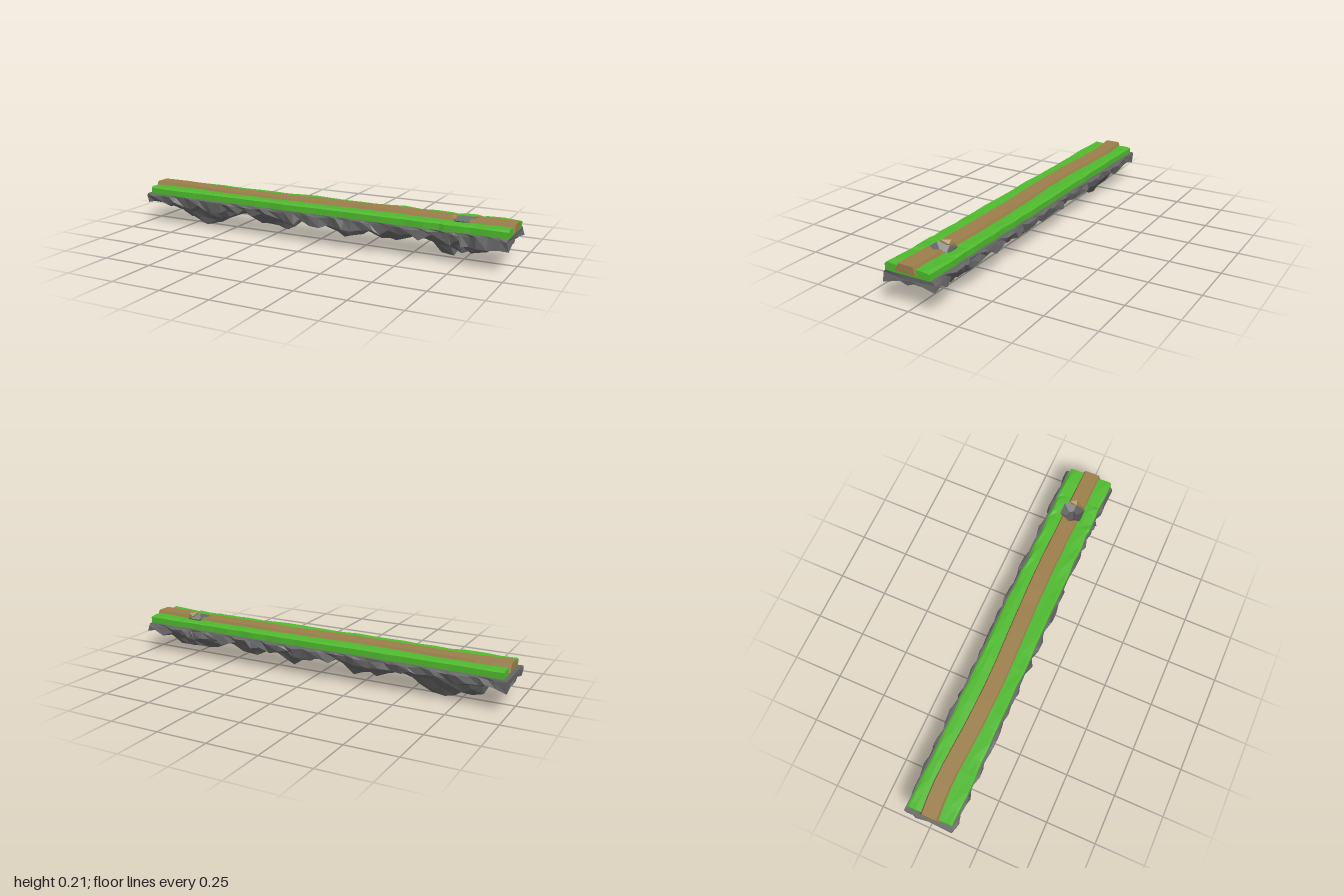
import * as THREE from 'three';

const HOLE_X = 0.745;
const material = (color) => new THREE.MeshStandardMaterial({ color, flatShading: true });

// Small seeded random source, returns -1..1
function seeded(seed) {
  let s = seed;
  return () => {
    s = (s * 16807) % 2147483647;
    return (s / 2147483647) * 2 - 1;
  };
}

// Linear interpolation in a list of [x, value] pairs
function lerpTable(table, x) {
  for (let i = 1; i < table.length; i++) {
    const [x0, v0] = table[i - 1], [x1, v1] = table[i];
    if (x <= x1) return v0 + (v1 - v0) * Math.max(0, (x - x0) / (x1 - x0));
  }
  return table[table.length - 1][1];
}

// Evenly spaced stations along x, with four more on the corners of the hexagonal hole
function stations(from, to, count, r) {
  const xs = [];
  for (let i = 0; i <= count; i++) xs.push(from + ((to - from) * i) / count);
  const kept = xs.filter((x) => Math.abs(x - HOLE_X) > r + 0.012);
  return [...kept, ...[-r, -r / 2, r / 2, r].map((d) => HOLE_X + d)].sort((a, b) => a - b);
}

const inHole = (x, r) => Math.abs(x - HOLE_X) < r + 0.001;
// Half width of the hexagon at a station
const hexHalf = (x, r) => (Math.abs(x - HOLE_X) < r * 0.6 ? r * 0.866 : 0);

// Joins closed loops of points into a capped, faceted solid; isOpen leaves cells out
function loft(loops, isOpen = () => false) {
  const pos = [];
  const tri = (...pts) => pts.forEach((p) => pos.push(...p));
  const n = loops[0].length;
  for (let i = 0; i < loops.length - 1; i++) {
    for (let k = 0; k < n; k++) {
      if (isOpen(i, k)) continue;
      const a = loops[i][k], b = loops[i][(k + 1) % n];
      const c = loops[i + 1][(k + 1) % n], d = loops[i + 1][k];
      tri(a, b, c);
      tri(a, c, d);
    }
  }
  [loops[0], loops[loops.length - 1]].forEach((loop, end) => {
    const mid = [0, 1, 2].map((j) => loop.reduce((sum, p) => sum + p[j], 0) / n);
    loop.forEach((p, k) => {
      const q = loop[(k + 1) % n];
      if (end) tri(mid, p, q);
      else tri(mid, q, p);
    });
  });
  const g = new THREE.BufferGeometry();
  g.setAttribute('position', new THREE.Float32BufferAttribute(pos, 3));
  g.computeVertexNormals();
  return g;
}

// Jagged rock with hanging lumps
function rockGeometry() {
  const rnd = seeded(4711), r = 0.025;
  const bottom = [[-1, 0.11], [-0.9, 0.1], [-0.85, 0.055], [-0.78, 0.03], [-0.67, 0], [-0.55, 0.035],
    [-0.42, 0.09], [-0.3, 0.04], [-0.2, 0.035], [-0.08, 0.1], [0, 0.09], [0.08, 0.06], [0.16, 0.035],
    [0.26, 0.08], [0.4, 0.04], [0.5, 0.09], [0.56, 0.085], [0.65, 0.04], [0.75, 0.025], [0.85, 0.05],
    [0.92, 0.1], [1, 0.12]];
  const cols = [-1, -0.75, -0.45, -0.16, 0.16, 0.45, 0.75, 1];
  const fall = [0.3, 0.48, 0.75, 1, 1, 0.75, 0.48, 0.3];
  const xs = stations(-0.99, 0.985, 42, r);
  const loops = xs.map((x, i) => {
    const atEnd = i === 0 || i === xs.length - 1, hole = inHole(x, r);
    const depth = 0.157 - lerpTable(bottom, x);
    const jx = () => (hole ? 0.2 : atEnd ? 0.6 : 1) * 0.014 * rnd();
    const center = (j) => hole && (j === 3 || j === 4);
    const hz = (j) => (j === 3 ? -1 : 1) * hexHalf(x, r);
    const top = cols.map((s, j) => [x, 0.157, center(j) ? hz(j) : s * 0.122]);
    const under = cols.map((s, j) => {
      if (center(j)) return [x, 0.04, hz(j)];
      const edge = j === 0 || j === 7;
      const y = edge ? 0.112 + 0.02 * rnd() : 0.157 - Math.max(depth * fall[j] * (1 + 0.16 * rnd()), 0.035);
      return [x + jx(), Math.max(0, y), s * 0.124 + 0.013 * rnd()];
    });
    const rim = (side) => [x + jx(), 0.148 + 0.006 * rnd(), side * (0.128 + 0.01 * rnd())];
    return [...top, rim(1), ...under.reverse(), rim(-1)];
  });
  // lowest tip rests on the ground
  let low = loops[0][0];
  loops.flat().forEach((p) => { if (p[1] < low[1]) low = p; });
  low[1] = 0;
  return loft(loops, (i, k) => (k === 3 || k === 12) && inHole(xs[i], r) && inHole(xs[i + 1], r));
}

// Turf slab with a soft uneven edge
function grassGeometry() {
  const rnd = seeded(92), r = 0.062;
  const xs = stations(-0.968, 0.985, 24, r);
  const loops = xs.map((x) => {
    const h = hexHalf(x, r), c = inHole(x, r) ? h : 0.025;
    const zl = -0.108 + 0.004 * rnd(), zr = 0.118 + 0.004 * rnd();
    const y = 0.193 + 0.002 * rnd();
    const lift = 0.004 * rnd();
    const base = 0.156 + 0.002 * rnd();
    return [
      [x, y + lift, zl + 0.01], [x, y, -0.07], [x, y - 0.002, -c],
      [x, y - 0.002, c], [x, y, 0.07], [x, y - lift, zr - 0.01],
      [x, 0.187, zr],
      [x, base, zr], [x, base, 0.07], [x, base, c],
      [x, base, -c], [x, base, -0.07], [x, base, zl],
      [x, 0.187, zl],
    ];
  });
  return loft(loops, (i, k) => (k === 2 || k === 9) && inHole(xs[i], r) && inHole(xs[i + 1], r));
}

// Dirt track with sloped sides; an end beside the hole follows the hexagon
function pathGeometry(from, to, count, holeSide) {
  const center = [[-0.98, 0.005], [-0.88, -0.004], [-0.78, -0.007], [-0.68, -0.002], [-0.5, 0.009], [-0.3, 0.014],
    [-0.15, 0.012], [0, 0.006], [0.2, 0], [0.4, -0.003], [0.6, 0.001], [0.8, 0.006], [1, 0.01]];
  const height = [[-0.98, 0.21], [-0.75, 0.206], [-0.6, 0.203], [-0.2, 0.203], [0, 0.205], [0.2, 0.202],
    [0.3, 0.207], [0.7, 0.203], [0.82, 0.207], [1, 0.207]];
  const loops = [];
  for (let i = 0; i <= count; i++) {
    const x = from + ((to - from) * i) / count;
    const zc = lerpTable(center, x), y = lerpTable(height, x);
    const cut = (holeSide < 0 && i === count) || (holeSide > 0 && i === 0);
    const point = (py, pz) => [
      cut ? HOLE_X + holeSide * (0.065 - Math.abs(pz) * 0.577) : x, py, pz];
    loops.push([point(y, zc - 0.037), point(y, 0), point(y, zc + 0.037),
      point(0.17, zc + 0.053), point(0.17, 0), point(0.17, zc - 0.053)]);
  }
  return loft(loops);
}

// Six-sided funnel that runs down through the rock
function holeGeometry() {
  const profile = [[0.025, 0.04], [0.025, 0.155], [0.064, 0.194]].map(([x, y]) => new THREE.Vector2(x, y));
  return new THREE.LatheGeometry(profile, 6, Math.PI / 2).translate(HOLE_X, 0, 0);
}

export function createModel() {
  const model = new THREE.Group();
  model.name = 'floatingIslandTrack';
  const rock = material(0x666666), grass = material(0x4fba2e), dirt = material(0x9c7e4a);
  const shaft = material(0x666666);
  shaft.side = THREE.DoubleSide;
  const add = (name, geometry, mat) => {
    const mesh = new THREE.Mesh(geometry, mat);
    mesh.name = name;
    model.add(mesh);
  };
  add('rock', rockGeometry(), rock);
  add('grass', grassGeometry(), grass);
  add('longPath', pathGeometry(-0.978, 0.68, 20, -1), dirt);
  add('shortPath', pathGeometry(0.81, 0.993, 3, 1), dirt);
  add('holeShaft', holeGeometry(), shaft);
  return model;
}
